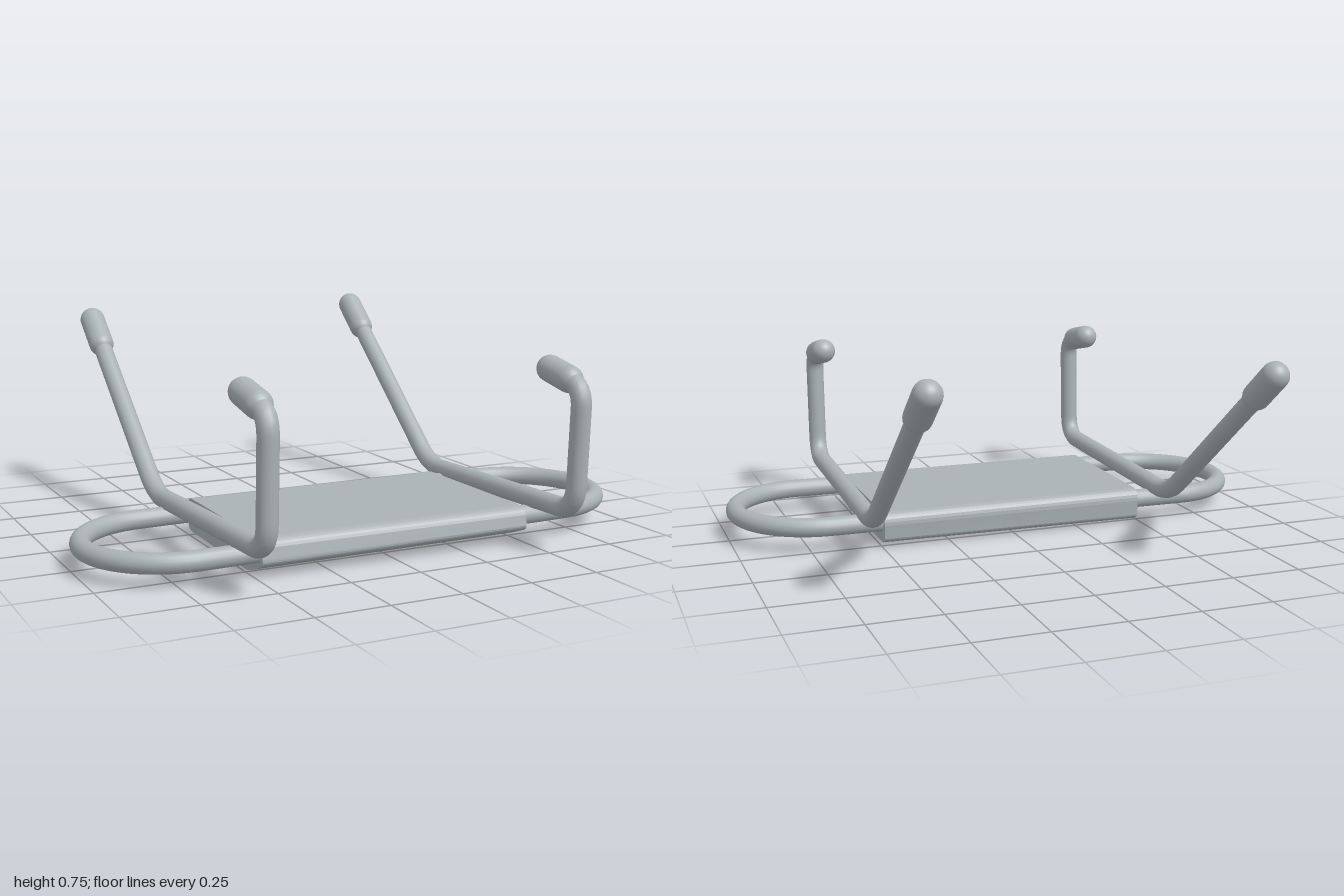
import * as THREE from 'three';

const V = (x, y, z) => new THREE.Vector3(x, y, z);

// Path through corner points, each inner corner rounded by a given distance
function roundedPath(points, bends) {
  const path = new THREE.CurvePath();
  let from = points[0];
  for (let i = 1; i < points.length - 1; i++) {
    const p = points[i];
    const a = p.clone().add(points[i - 1].clone().sub(p).setLength(bends[i - 1]));
    const b = p.clone().add(points[i + 1].clone().sub(p).setLength(bends[i - 1]));
    path.add(new THREE.LineCurve3(from, a));
    path.add(new THREE.QuadraticBezierCurve3(a, p, b));
    from = b;
  }
  path.add(new THREE.LineCurve3(from, points[points.length - 1]));
  return path;
}

// Closed stadium-shaped path, tilted slightly along x
class StadiumCurve extends THREE.Curve {
  getPoint(t, target = new THREE.Vector3()) {
    const half = 0.685, r = 0.281, zMid = 0.285;
    const straight = 2 * half, arc = Math.PI * r;
    let d = (t % 1) * 2 * (straight + arc), side = 1;
    if (d >= straight + arc) { d -= straight + arc; side = -1; }
    let x, z;
    if (d < straight) {
      x = -half + d;
      z = -r;
    } else {
      const a = (d - straight) / r;
      x = half + r * Math.sin(a);
      z = -r * Math.cos(a);
    }
    return target.set(side * x, 0.085 + 0.008 * side * x, zMid + side * z);
  }
}

export function createModel() {
  const model = new THREE.Group();
  const metal = new THREE.MeshStandardMaterial({ color: 0xaab2b6 });
  metal.name = 'paleGreyMetal';

  function add(parent, name, geometry) {
    const mesh = new THREE.Mesh(geometry, metal);
    mesh.name = name;
    parent.add(mesh);
    return mesh;
  }

  // Rounded grip sleeve between two centres
  function addGrip(parent, name, a, b, radius) {
    const dir = b.clone().sub(a);
    const grip = add(parent, name, new THREE.CapsuleGeometry(radius, dir.length(), 8, 24));
    grip.position.copy(a).add(b).multiplyScalar(0.5);
    grip.quaternion.setFromUnitVectors(V(0, 1, 0), dir.normalize());
  }

  // Side rails: front hook, long base run and raised rear arm
  function addRail(name, xFront, xBack, lift) {
    const rail = new THREE.Group();
    rail.name = name;
    const at = (z, y) => V(THREE.MathUtils.mapLinear(z, 0.83, -0.83, xFront, xBack), y, z);
    const tip = at(-0.825, 0.69 + lift);
    const path = roundedPath(
      [at(0.66, 0.608), at(0.837, 0.572), at(0.82, 0.155), at(-0.125, 0.127), tip],
      [0.07, 0.09, 0.09]);
    add(rail, 'bentTube', new THREE.TubeGeometry(path, 140, 0.034, 16));
    addGrip(rail, 'frontGrip', at(0.765, 0.588), at(0.657, 0.61), 0.046);
    addGrip(rail, 'rearGrip', at(-0.72, 0.605 + lift * 0.8), tip, 0.047);
    model.add(rail);
  }
  addRail('leftRail', 0.545, 0.568, 0.01);
  addRail('rightRail', -0.568, -0.58, -0.004);

  // Horizontal loop frame
  add(model, 'loopFrame', new THREE.TubeGeometry(new StadiumCurve(), 160, 0.034, 16, true));

  // Seat panel: side profile extruded across x (shape x is -z)
  const profile = new THREE.Shape();
  profile.moveTo(0.01, 0.128);
  profile.quadraticCurveTo(0.045, 0.125, 0.045, 0.085);
  profile.lineTo(0.04, 0.03);
  profile.quadraticCurveTo(0.035, 0.014, 0.01, 0.011);
  profile.lineTo(-0.47, 0.002);
  profile.quadraticCurveTo(-0.5, 0.002, -0.53, 0.014);
  profile.lineTo(-0.59, 0.036);
  profile.quadraticCurveTo(-0.617, 0.045, -0.612, 0.065);
  profile.lineTo(-0.605, 0.1);
  profile.quadraticCurveTo(-0.595, 0.128, -0.56, 0.128);
  profile.closePath();
  const panel = new THREE.ExtrudeGeometry(profile, { depth: 0.985, bevelEnabled: false, curveSegments: 6 });
  panel.rotateY(Math.PI / 2);
  panel.translate(-0.487, 0, 0);
  // Front edge runs slightly forward, and underside slightly up, towards the left end
  const pos = panel.attributes.position;
  for (let i = 0; i < pos.count; i++) {
    const x = pos.getX(i), y = pos.getY(i), z = pos.getZ(i);
    if (z > 0.4) pos.setZ(i, z + 0.012 * x);
    if (y < 0.06) pos.setY(i, Math.max(0, y + 0.008 * (x + 0.3)));
  }
  panel.computeVertexNormals();
  add(model, 'seatPanel', panel);

  return model;
}
